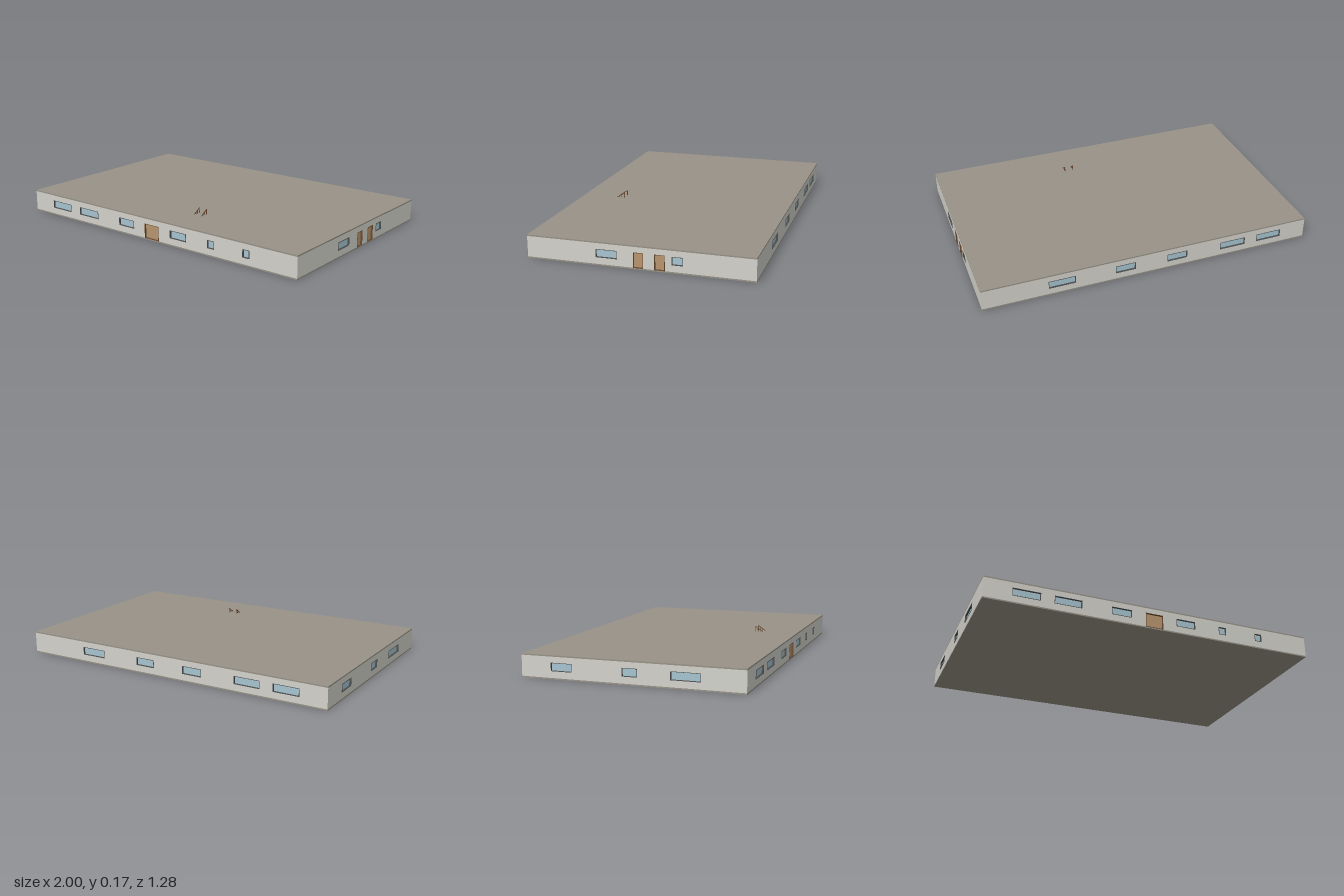
import * as THREE from 'three';

const mat = (name, color) => {
  const m = new THREE.MeshStandardMaterial({ color });
  m.name = name;
  return m;
};

const HX = 0.998, HZ = 0.64;          // half footprint
const SLAB = 0.008, EAVE = 0.126, TOP = 0.134;
const T = 0.02;                       // wall thickness
const SILL = 0.046, HEAD = 0.093, DOOR_HEAD = 0.095;

// Openings as [start, end] along each wall, in wall-local coordinates (+ is the viewer's right)
const WALLS = [
  { name: 'front', turn: 0, half: HX, dist: HZ,
    windows: [[-0.835, -0.675], [-0.597, -0.438], [-0.26, -0.14], [0.138, 0.256], [0.41, 0.457], [0.65, 0.695]],
    doors: [[-0.055, 0.052]] },
  { name: 'left', turn: Math.PI / 2, half: HZ - T, dist: HX,
    windows: [[-0.24, -0.12], [0.186, 0.248]],
    doors: [[-0.028, 0.028], [0.09, 0.148]] },
  { name: 'back', turn: Math.PI, half: HX, dist: HZ,
    windows: [[-0.615, -0.457], [-0.218, -0.097], [0.1, 0.225], [0.437, 0.598], [0.677, 0.835]],
    doors: [] },
  { name: 'right', turn: -Math.PI / 2, half: HZ - T, dist: HX,
    windows: [[-0.462, -0.338], [-0.045, 0.042], [0.228, 0.396]],
    doors: [] },
];

const rect = (Type, a, b, y0, y1) => {
  const s = new Type();
  s.moveTo(a, y0);
  s.lineTo(b, y0);
  s.lineTo(b, y1);
  s.lineTo(a, y1);
  s.closePath();
  return s;
};

export function createModel() {
  const model = new THREE.Group();
  model.name = 'building';
  const wallMat = mat('pale plaster', 0xd3d2cb);
  const slabMat = mat('grey roofing', 0x989287);
  const glassMat = mat('blue glass', 0xa6c4d0);
  const frameMat = mat('dark window frame', 0x4c4f50);
  const doorMat = mat('tan wood', 0xb8956f);
  const woodMat = mat('dark wood', 0x6b4a2e);

  const add = (parent, name, geometry, material, x = 0, y = 0, z = 0) => {
    const mesh = new THREE.Mesh(geometry, material);
    mesh.name = name;
    mesh.position.set(x, y, z);
    parent.add(mesh);
    return mesh;
  };
  const extrude = (shape, depth) =>
    new THREE.ExtrudeGeometry(shape, { depth, bevelEnabled: false });

  // Floor and roof slabs
  add(model, 'floorSlab', new THREE.BoxGeometry(2 * HX, SLAB, 2 * HZ), slabMat, 0, SLAB / 2);
  add(model, 'roofSlab', new THREE.BoxGeometry(2 * HX, TOP - EAVE, 2 * HZ), slabMat, 0, (TOP + EAVE) / 2);

  // A slim frame lining an opening, with a recessed panel in it
  const fillOpening = (wall, kind, [a, b], y0, y1, dist, panelMat, liningMat) => {
    const w = 0.0025;
    const ring = rect(THREE.Shape, a, b, y0, y1);
    ring.holes.push(rect(THREE.Path, a + w, b - w, y0 + w, y1 - w));
    add(wall, kind + 'Frame', extrude(ring, 0.014), liningMat, 0, 0, dist - 0.012);
    add(wall, kind + 'Panel', new THREE.BoxGeometry(b - a - w, y1 - y0 - w, 0.004), panelMat,
      (a + b) / 2, (y0 + y1) / 2, dist - 0.011);
  };

  // Walls: door notches are cut into the outline, windows are holes
  for (const { name, turn, half, dist, windows, doors } of WALLS) {
    const wall = new THREE.Group();
    wall.name = name + 'Wall';
    wall.rotation.y = turn;
    const shape = new THREE.Shape();
    shape.moveTo(-half, SLAB);
    for (const [a, b] of doors) {
      shape.lineTo(a, SLAB);
      shape.lineTo(a, DOOR_HEAD);
      shape.lineTo(b, DOOR_HEAD);
      shape.lineTo(b, SLAB);
    }
    shape.lineTo(half, SLAB);
    shape.lineTo(half, EAVE);
    shape.lineTo(-half, EAVE);
    shape.closePath();
    for (const [a, b] of windows) shape.holes.push(rect(THREE.Path, a, b, SILL, HEAD));
    add(wall, 'wallPanel', extrude(shape, T), wallMat, 0, 0, dist - T);
    for (const w of windows) fillOpening(wall, 'window', w, SILL, HEAD, dist, glassMat, frameMat);
    for (const d of doors) fillOpening(wall, 'door', d, SLAB, DOOR_HEAD, dist, doorMat, woodMat);
    model.add(wall);
  }

  // Pair of sloping stair rails rising through the roof
  const low = { y: TOP, z: 0.425 }, high = { y: 0.165, z: 0.377 };
  const run = low.z - high.z, rise = high.y - low.y;
  for (const x of [0.14, 0.194]) {
    const railing = new THREE.Group();
    railing.name = 'stairRailing';
    const rail = add(railing, 'handrail', new THREE.BoxGeometry(0.004, 0.004, Math.hypot(run, rise)),
      woodMat, x, (low.y + high.y) / 2, (low.z + high.z) / 2);
    rail.rotation.x = Math.atan2(rise, run);
    for (const t of [0.3, 0.6, 0.97]) {
      add(railing, 'post', new THREE.BoxGeometry(0.003, rise * t, 0.003), woodMat,
        x, low.y + (rise * t) / 2, low.z - run * t);
    }
    model.add(railing);
  }
  return model;
}
